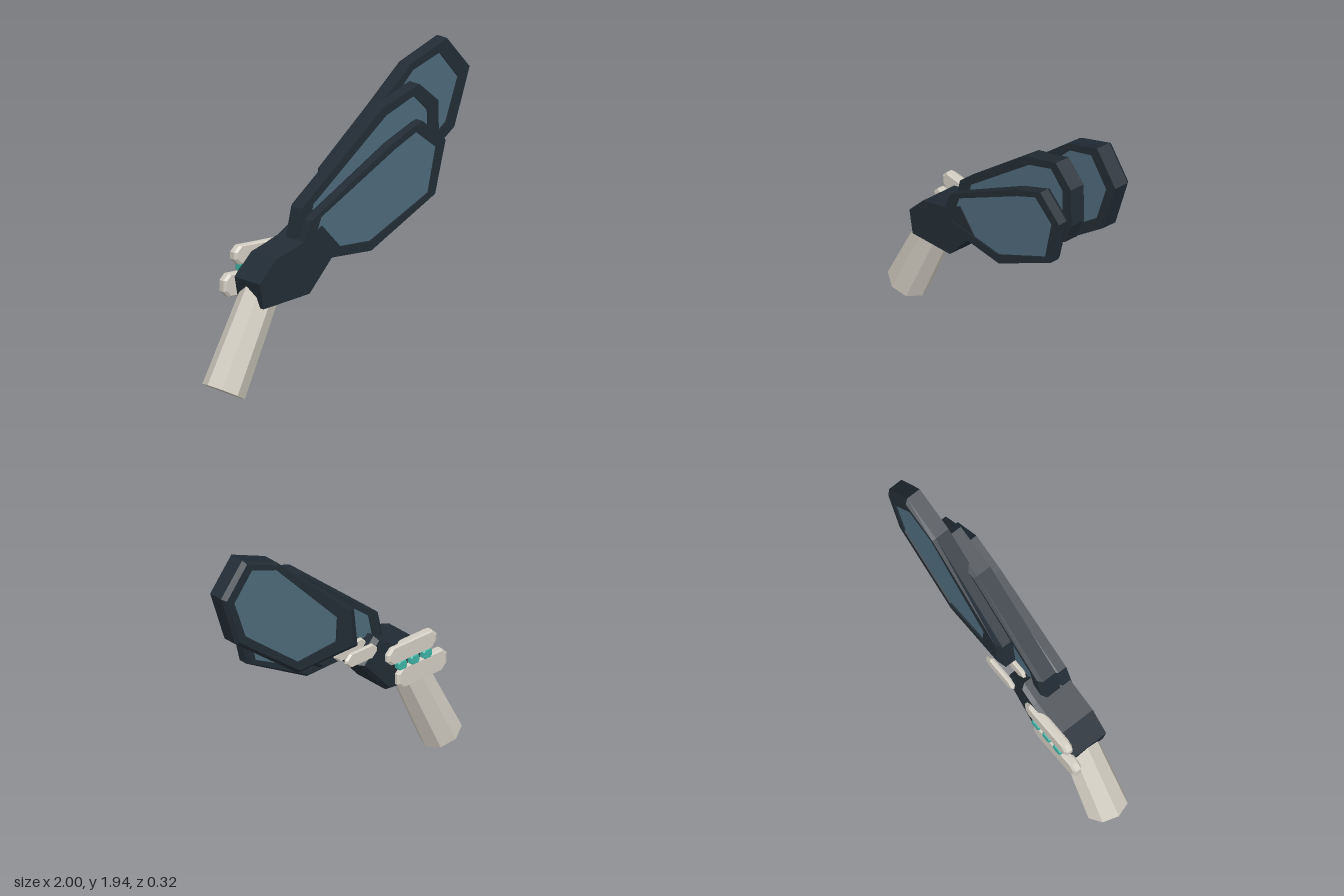
import * as THREE from 'three';

const mat = (name, color) => Object.assign(new THREE.MeshStandardMaterial({ color, flatShading: true }), { name });

// Joins rings of [x, y, z] points, listed from front to back, into a faceted skin
function loft(rings) {
  const pos = [], n = rings[0].length;
  for (let k = 0; k < rings.length - 1; k++) {
    for (let i = 0; i < n; i++) {
      const j = (i + 1) % n;
      const a = rings[k][i], b = rings[k][j], c = rings[k + 1][j], d = rings[k + 1][i];
      pos.push(...a, ...d, ...c, ...a, ...c, ...b);
    }
  }
  const g = new THREE.BufferGeometry();
  g.setAttribute('position', new THREE.Float32BufferAttribute(pos, 3));
  g.computeVertexNormals();
  return g;
}

const ring = (pts, z) => pts.map(([x, y]) => [x, y, z]);
const blend = (p, q, t) => p.map(([x, y], i) => [x + (q[i][0] - x) * t, y + (q[i][1] - y) * t]);

// Solid prism whose front and back rims can be chamfered
function solid(pts, z0, z1, depth, inset, bevelFront) {
  const cx = pts.reduce((s, p) => s + p[0], 0) / pts.length;
  const cy = pts.reduce((s, p) => s + p[1], 0) / pts.length;
  const mid = pts.map(() => [cx, cy]);
  const small = blend(pts, mid, inset);
  const front = bevelFront ? [ring(small, z1), ring(pts, z1 - depth)] : [ring(pts, z1)];
  return loft([ring(mid, z1), ...front, ring(pts, z0 + depth), ring(small, z0), ring(mid, z0)]);
}

// Plate outline with cut corners
function cutRect(x0, x1, y0, y1, c) {
  return [[x0 + c, y0], [x1 - c, y0], [x1, y0 + c], [x1, y1 - c],
    [x1 - c, y1], [x0 + c, y1], [x0, y1 - c], [x0, y0 + c]];
}

export function createModel() {
  const model = new THREE.Group();
  const dark = mat('dark slate', 0x232d36);
  const blue = mat('blue pane', 0x4e6b7a);
  const cream = mat('warm grey', 0xd3cec3);
  const teal = mat('teal', 0x3fb5a6);

  const add = (name, geometry, material, parent = model) => {
    const m = new THREE.Mesh(geometry, material);
    m.name = name;
    parent.add(m);
    return m;
  };

  // Fanned blades: a frame around a slightly recessed pane
  const blades = [
    { name: 'frontBlade', z0: 0.07, z1: 0.155,
      outer: [[-0.425, 0.8], [0.12, 0.79], [0.6, 1.06], [0.68, 1.38], [0.505, 1.52], [0.285, 1.42], [-0.335, 1.04]],
      inner: [[-0.33, 0.855], [0.115, 0.85], [0.55, 1.075], [0.61, 1.345], [0.46, 1.46], [0.3, 1.38], [-0.255, 1.055]] },
    { name: 'middleBlade', z0: -0.05, z1: 0.072,
      outer: [[-0.38, 0.92], [0.12, 0.9], [0.63, 1.19], [0.695, 1.34], [0.69, 1.6], [0.55, 1.72], [0.275, 1.62], [-0.34, 1.1]],
      inner: [[-0.28, 0.98], [0.1, 0.97], [0.54, 1.22], [0.615, 1.36], [0.61, 1.555], [0.505, 1.655], [0.3, 1.57], [-0.25, 1.115]] },
    { name: 'backBlade', z0: -0.137, z1: -0.017,
      outer: [[-0.1, 1.0], [0.38, 1.0], [0.88, 1.39], [0.995, 1.74], [0.825, 1.94], [0.555, 1.825], [-0.07, 1.27]],
      inner: [[0.09, 1.11], [0.395, 1.09], [0.82, 1.43], [0.91, 1.69], [0.77, 1.86], [0.57, 1.785], [0.08, 1.27]] },
  ];
  for (const { name, z0, z1, outer, inner } of blades) {
    const blade = new THREE.Group();
    blade.name = name;
    model.add(blade);
    const recess = 0.01;
    add('frame', loft([
      ring(inner, z1 - 2 * recess), ring(inner, z1), ring(outer, z1), ring(outer, z0 + 0.025),
      ring(blend(outer, inner, 0.3), z0), ring(inner, z0), ring(inner, z0 + 2 * recess),
    ]), dark, blade);
    const shape = new THREE.Shape(inner.map(([x, y]) => new THREE.Vector2(x, y)));
    const pane = new THREE.ExtrudeGeometry(shape, { depth: z1 - z0 - 2 * recess, bevelEnabled: false });
    pane.translate(0, 0, z0 + recess);
    add('pane', pane, blue, blade);
  }

  // Body joining the grip to the blades
  add('body', solid([[-0.715, 0.715], [-0.685, 0.56], [-0.34, 0.6], [-0.175, 0.79], [-0.11, 0.855],
    [-0.245, 1.0], [-0.365, 0.925], [-0.59, 0.85]], -0.122, 0.15, 0.03, 0.12, false), dark);

  // Tapered eight-sided grip
  const length = 0.72;
  const gripGeo = new THREE.CylinderGeometry(0.114, 0.134, length, 8);
  gripGeo.translate(0, length / 2, 0);
  const grip = add('grip', gripGeo, cream);
  grip.position.set(-0.88, 0.0625, 0.015);
  grip.rotation.z = -0.456;

  // Clips on the back
  const clip = (name, x0, x1, y0, y1, z0, z1) =>
    add(name, solid(cutRect(x0, x1, y0, y1, 0.036), z0, z1, 0.012, 0.1, true), cream);
  clip('upperClip', -0.71, -0.31, 0.78, 0.895, -0.15, -0.09);
  clip('lowerClip', -0.79, -0.39, 0.595, 0.735, -0.15, -0.09);
  clip('outerBladeClip', -0.22, 0.035, 0.905, 0.995, -0.162, -0.132);
  clip('innerBladeClip', -0.22, 0.035, 0.905, 0.995, -0.066, -0.034);

  // Row of buttons between the lower clips
  for (const x of [-0.625, -0.525, -0.425]) {
    add('button', solid(cutRect(x - 0.034, x + 0.034, 0.728, 0.787, 0.012), -0.157, -0.1, 0.01, 0.12, false), teal);
  }
  return model;
}
